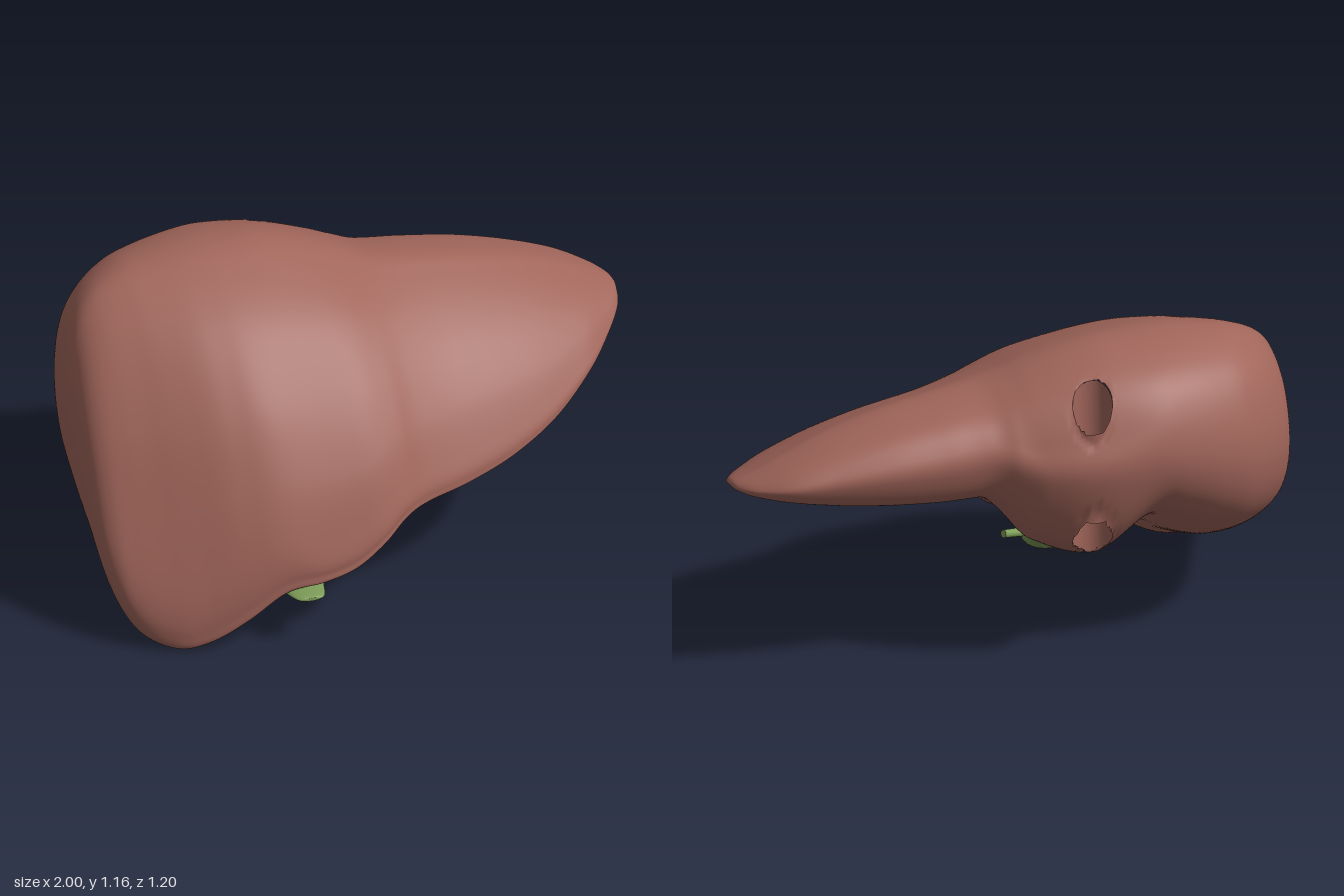
import * as THREE from 'three';

const HOLE = { x: -0.2, z: -0.485, r: 0.068 };

// uniform Catmull-Rom through rows of numbers
function spline(rows, t, closed = false) {
  const n = rows.length;
  const at = k => rows[closed ? (k + n) % n : Math.min(n - 1, Math.max(0, k))];
  const i = Math.floor(t), f = t - i;
  const [a, b, c, d] = [at(i - 1), at(i), at(i + 1), at(i + 2)];
  return b.map((_, k) => 0.5 * (2 * b[k] + (c[k] - a[k]) * f
    + (2 * a[k] - 5 * b[k] + 4 * c[k] - d[k]) * f * f
    + (3 * b[k] - a[k] - 3 * c[k] + d[k]) * f * f * f));
}

// skin a list of rings, each a list of Vector3
function loft(rings, closeEnds = true, keep = () => true) {
  if (closeEnds) {
    const collapse = ring => {
      const c = ring.reduce((s, p) => s.add(p), new THREE.Vector3()).divideScalar(ring.length);
      return ring.map(() => c);
    };
    rings = [collapse(rings[0]), ...rings, collapse(rings[rings.length - 1])];
  }
  const m = rings[0].length, points = rings.flat(), index = [];
  const tri = (a, b, c) => { if (keep(points[a], points[b], points[c])) index.push(a, b, c); };
  for (let i = 0; i < rings.length - 1; i++) {
    for (let j = 0; j < m; j++) {
      const k = (j + 1) % m, a = i * m + j, b = a + m, c = (i + 1) * m + k, d = i * m + k;
      tri(a, b, c);
      tri(a, c, d);
    }
  }
  const g = new THREE.BufferGeometry().setFromPoints(points);
  g.setIndex(index);
  g.computeVertexNormals();
  return g;
}

// envelope along x: [x, top, bottom, back, front]
const ENVELOPE = [
  [-1, 0.66, 0.5, -0.04, 0.12], [-0.99, 0.82, 0.32, -0.2, 0.28], [-0.95, 0.97, 0.16, -0.35, 0.385],
  [-0.88, 1.06, 0.05, -0.44, 0.45], [-0.77, 1.115, 0.003, -0.52, 0.5], [-0.66, 1.138, 0.03, -0.56, 0.525],
  [-0.53, 1.152, 0.11, -0.585, 0.545], [-0.4, 1.155, 0.2, -0.6, 0.555], [-0.27, 1.15, 0.22, -0.6, 0.56],
  [-0.15, 1.125, 0.25, -0.58, 0.55], [-0.04, 1.09, 0.315, -0.545, 0.525], [0.05, 1.055, 0.38, -0.505, 0.485],
  [0.14, 1.028, 0.403, -0.465, 0.443], [0.3, 1.0, 0.425, -0.455, 0.4], [0.48, 0.968, 0.47, -0.44, 0.345],
  [0.66, 0.92, 0.54, -0.41, 0.26], [0.82, 0.86, 0.63, -0.37, 0.14], [0.93, 0.81, 0.695, -0.3, 0.01],
  [0.985, 0.782, 0.73, -0.23, -0.08], [1, 0.765, 0.752, -0.175, -0.145],
];

// sections inside the envelope: (back to front, bottom to top), from the front lower edge over the top
const END = [[0.94, 0], [1, 0.06], [0.975, 0.2], [0.865, 0.43], [0.72, 0.67], [0.55, 0.86], [0.39, 0.97],
  [0.27, 1], [0.12, 0.94], [0.03, 0.82], [0, 0.66], [0.05, 0.5], [0.18, 0.37], [0.45, 0.22], [0.75, 0.09]];
const RIGHT = [[0.97, 0], [1, 0.05], [0.99, 0.2], [0.92, 0.43], [0.8, 0.67], [0.62, 0.87], [0.42, 0.98],
  [0.28, 1], [0.12, 0.94], [0.03, 0.82], [0, 0.66], [0.05, 0.5], [0.18, 0.37], [0.45, 0.22], [0.75, 0.09]];
const MIDDLE = [[0.96, 0], [1, 0.04], [0.985, 0.15], [0.92, 0.38], [0.79, 0.64], [0.62, 0.85], [0.42, 0.97],
  [0.28, 1], [0.12, 0.92], [0.03, 0.76], [0, 0.6], [0.09, 0.3], [0.27, 0.17], [0.45, 0.34], [0.64, 0.075]];
const LEFT = [[0.97, 0], [1, 0.04], [0.97, 0.16], [0.87, 0.42], [0.73, 0.66], [0.58, 0.83], [0.42, 0.95],
  [0.3, 1], [0.12, 0.95], [0.03, 0.84], [0, 0.7], [0.06, 0.49], [0.2, 0.38], [0.47, 0.26], [0.75, 0.13]];

const holeDistance = (x, z) => Math.hypot(x - HOLE.x, z - HOLE.z);

// blend of the four sections: gradual over the front and top, abrupt underneath
function sectionAt(x) {
  const { lerp, smoothstep } = THREE.MathUtils;
  return END.map((p, i) => {
    const gradual = i > 1 && i < 9;
    const toRight = smoothstep(x, -0.98, -0.55);
    const toMiddle = smoothstep(x, -0.48, -0.21);
    const toLeft = gradual ? smoothstep(x, -0.12, 0.32) : smoothstep(x, -0.03, 0.17);
    return p.map((v, k) =>
      lerp(lerp(lerp(v, RIGHT[i][k], toRight), MIDDLE[i][k], toMiddle), LEFT[i][k], toLeft));
  });
}

function bodyRings() {
  const rings = [], sub = 9, around = 10;
  for (let s = 0; s <= (ENVELOPE.length - 1) * sub; s++) {
    const [x, top, bottom, back, front] = spline(ENVELOPE, s / sub);
    const shape = sectionAt(x);
    const ring = [];
    for (let j = 0; j < shape.length * around; j++) {
      const [u, v] = spline(shape, j / around, true);
      const p = new THREE.Vector3(x, bottom + (top - bottom) * v, back + (front - back) * u);
      // pull nearby points onto the rim of the vein channel
      const d = holeDistance(p.x, p.z);
      if (d > HOLE.r * 0.8 && d < HOLE.r * 1.15) {
        p.x = HOLE.x + (p.x - HOLE.x) * HOLE.r / d;
        p.z = HOLE.z + (p.z - HOLE.z) * HOLE.r / d;
      }
      ring.push(p);
    }
    rings.push(ring);
  }
  return rings;
}

// wall of the vein channel, running between the lower and upper openings
function channelGeometry(points) {
  const lower = [], upper = [];
  for (let i = 0; i < 24; i++) {
    const a = i / 24 * Math.PI * 2;
    const x = HOLE.x + Math.cos(a) * HOLE.r, z = HOLE.z - Math.sin(a) * HOLE.r;
    const height = test => points.filter(test).reduce((best, p) =>
      Math.hypot(p.x - x, p.z - z) < Math.hypot(best.x - x, best.z - z) ? p : best).y;
    lower.push(new THREE.Vector3(x, height(p => p.y < 0.8), z));
    upper.push(new THREE.Vector3(x, height(p => p.y >= 0.8), z));
  }
  return loft([lower, upper], false);
}

// gallbladder stations: [x, y, z, half width, half height]
const GALLBLADDER = [
  [-0.325, 0.19, 0.598, 0.025, 0.006], [-0.328, 0.19, 0.58, 0.052, 0.012], [-0.33, 0.192, 0.5, 0.075, 0.022],
  [-0.31, 0.212, 0.4, 0.088, 0.038], [-0.28, 0.223, 0.29, 0.105, 0.074], [-0.268, 0.22, 0.2, 0.11, 0.078],
  [-0.255, 0.24, 0.13, 0.092, 0.057], [-0.235, 0.268, 0.085, 0.055, 0.034], [-0.22, 0.284, 0.06, 0.018, 0.014],
];

function gallbladderGeometry() {
  const rings = [];
  for (let s = 0; s <= (GALLBLADDER.length - 1) * 5; s++) {
    const [x, y, z, w, h] = spline(GALLBLADDER, s / 5);
    rings.push(Array.from({ length: 28 }, (_, i) => {
      const a = i / 28 * Math.PI * 2;
      return new THREE.Vector3(x + Math.cos(a) * w, y + Math.sin(a) * h, z);
    }));
  }
  return loft(rings);
}

export function createModel() {
  const group = new THREE.Group();
  group.name = 'liver';
  const liverRed = new THREE.MeshStandardMaterial({ color: 0xa0655a });
  liverRed.name = 'liver red';
  const bileGreen = new THREE.MeshStandardMaterial({ color: 0x7b9a56 });
  bileGreen.name = 'bile green';
  const add = (name, geometry, material) => {
    const mesh = new THREE.Mesh(geometry, material);
    mesh.name = name;
    group.add(mesh);
    return mesh;
  };

  const rings = bodyRings();
  const outsideHole = (a, b, c) =>
    holeDistance((a.x + b.x + c.x) / 3, (a.z + b.z + c.z) / 3) > HOLE.r * 0.97;
  add('lobes', loft(rings, true, outsideHole), liverRed);
  add('veinChannel', channelGeometry(rings.flat()), liverRed);
  add('gallbladder', gallbladderGeometry(), bileGreen);

  // duct leaving the neck sideways
  const from = new THREE.Vector3(-0.235, 0.275, 0.085), to = new THREE.Vector3(-0.035, 0.328, -0.003);
  const duct = add('bileDuct', new THREE.CylinderGeometry(0.014, 0.018, from.distanceTo(to), 20), bileGreen);
  duct.position.copy(from).lerp(to, 0.5);
  duct.quaternion.setFromUnitVectors(new THREE.Vector3(0, 1, 0), to.clone().sub(from).normalize());
  return group;
}
